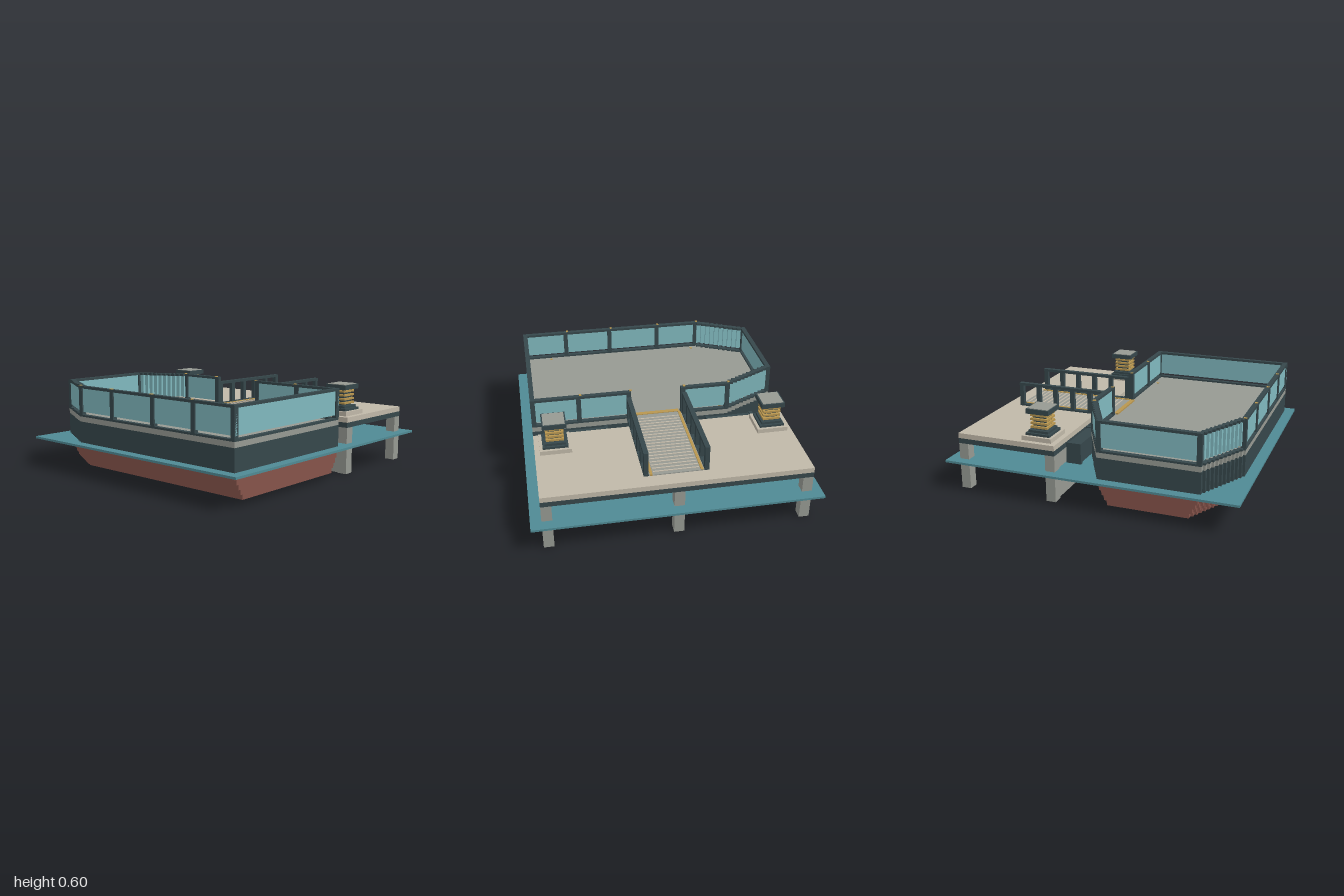
import * as THREE from 'three';

const mat = (name, color) => {
  const m = new THREE.MeshStandardMaterial({ color });
  m.name = name;
  return m;
};
const M = {
  water: mat('water teal', 0x4f8a94),
  glass: mat('glass blue', 0x80b8be),
  dark: mat('dark slate', 0x36474b),
  red: mat('hull red', 0x85534a),
  grey: mat('deck grey', 0x969992),
  beige: mat('quay beige', 0xc0b8a8),
  gold: mat('brass', 0xb8964f),
};

// Box given by its min and max on each axis
function box(parent, name, m, x0, x1, y0, y1, z0, z1) {
  const mesh = new THREE.Mesh(new THREE.BoxGeometry(x1 - x0, y1 - y0, z1 - z0), m);
  mesh.position.set((x0 + x1) / 2, (y0 + y1) / 2, (z0 + z1) / 2);
  mesh.name = name;
  parent.add(mesh);
  return mesh;
}
function group(parent, name) {
  const g = new THREE.Group();
  g.name = name;
  parent.add(g);
  return g;
}

// Ship dimensions
const CX = -0.405, HALF = 0.525, STERN = 0.875, BOW = -0.88, SHOULDER = -0.52, STEPS = 11;
const DZ = (SHOULDER - BOW) / STEPS;
const bowHalf = i => 0.51 - 0.017 * i;

// Horizontal hull slab with a stair-stepped bow
function hullSlab(parent, name, m, y0, y1, inset) {
  const pts = [[HALF - inset, -STERN], [HALF - inset, -SHOULDER]];
  for (let i = 0; i < STEPS; i++) {
    const h = bowHalf(i) - inset;
    pts.push([h, -SHOULDER + i * DZ], [h, -SHOULDER + (i + 1) * DZ]);
  }
  const mirrored = pts.map(([x, y]) => [-x, y]).reverse();
  const shape = new THREE.Shape([...pts, ...mirrored].map(([x, y]) => new THREE.Vector2(x, y)));
  const geo = new THREE.ExtrudeGeometry(shape, { depth: y1 - y0, bevelEnabled: false });
  geo.rotateX(-Math.PI / 2);
  const mesh = new THREE.Mesh(geo, m);
  mesh.position.set(CX, y0, 0);
  mesh.name = name;
  parent.add(mesh);
}

// Bottom rail, top rail and glass over one rectangle of the bulwark
function railing(parent, x0, x1, z0, z1, thinX) {
  box(parent, 'bottomRail', M.dark, x0, x1, 0.39, 0.403, z0, z1);
  box(parent, 'topRail', M.dark, x0, x1, 0.583, 0.6, z0, z1);
  const e = 0.009;
  if (thinX) box(parent, 'glassPanel', M.glass, x0 + e, x1 - e, 0.422, 0.583, z0, z1);
  else box(parent, 'glassPanel', M.glass, x0, x1, 0.422, 0.583, z0 + e, z1 - e);
}
function post(parent, x, z) {
  box(parent, 'railPost', M.dark, x - 0.016, x + 0.016, 0.39, 0.598, z - 0.016, z + 0.016);
}

function buildShip(root) {
  const ship = group(root, 'ship');
  // Stepped lower hull, upper hull and deck
  const ys = [0.04, 0.072, 0.104, 0.136, 0.168, 0.205];
  [0.07, 0.052, 0.034, 0.017, 0].forEach((inset, i) =>
    hullSlab(ship, 'lowerHull', M.red, ys[i], ys[i + 1], inset));
  hullSlab(ship, 'upperHull', M.dark, 0.205, 0.355, 0);
  hullSlab(ship, 'deck', M.grey, 0.355, 0.39, 0);
  for (const z of [0.61, -0.59])
    box(ship, 'keelPad', M.dark, CX - 0.105, CX + 0.105, 0, 0.04, z - 0.1, z + 0.1);

  // Straight bulwarks, with an opening on the quay side
  const L = CX - HALF, R = CX + HALF, t = 0.032;
  railing(ship, L, L + t, SHOULDER, STERN, true);
  railing(ship, R - t, R, 0.18, STERN, true);
  railing(ship, R - t, R, SHOULDER, -0.18, true);
  railing(ship, L, R, STERN - t, STERN, false);
  for (const z of [-0.51, -0.19, 0.195, 0.545, STERN - 0.016]) {
    post(ship, L + 0.016, z);
    post(ship, R - 0.016, z);
  }

  // Stepped bow bulwark
  for (let i = 0; i < STEPS; i++) {
    const h = bowHalf(i), z1 = SHOULDER - i * DZ, z0 = z1 - DZ;
    if (i === STEPS - 1) railing(ship, CX - h, CX + h, z0, z1, false);
    else for (const s of [-1, 1]) {
      const a = CX + s * h, b = CX + s * (h - 0.038);
      railing(ship, Math.min(a, b), Math.max(a, b), z0, z1, true);
    }
  }
  for (const s of [-1, 1]) post(ship, CX + s * 0.325, BOW + 0.016);

  // Brass caps on the rail and small deck lights
  const dot = (name, x, y, z) =>
    box(ship, name, M.gold, x - 0.01, x + 0.01, y, y + 0.004, z - 0.008, z + 0.008);
  for (const z of [-0.52, -0.2, 0.18, 0.53]) {
    dot('postCap', L + 0.012, 0.6, z);
    dot('postCap', R - 0.025, 0.6, z);
  }
  for (const z of [-0.47, 0.67]) for (const s of [-1, 1]) dot('deckLight', CX + s * 0.463, 0.39, z);
}

function buildQuay(root) {
  const quay = group(root, 'quay');
  box(quay, 'quayTop', M.beige, 0.225, 0.925, 0.355, 0.39, -0.88, 0.875);
  box(quay, 'quayBeam', M.dark, 0.225, 0.925, 0.32, 0.355, -0.88, 0.875);
  for (const x of [0.225, 0.858]) for (const z of [-0.845, 0, 0.84])
    box(quay, 'quayPile', M.grey, x, x + 0.067, 0, 0.32, z - 0.034, z + 0.034);
  box(quay, 'quayWall', M.grey, 0.235, 0.27, 0.001, 0.32, -0.87, 0.865);
  box(quay, 'bumperPlate', M.dark, 0.122, 0.155, 0, 0.33, -0.21, 0.21);

  // Fenders between ship and quay
  for (const s of [-1, 1]) {
    const c = s * 0.526;
    box(quay, 'fender', M.dark, 0.128, 0.217, 0.215, 0.345, c - 0.165, c + 0.165);
    for (const e of [-1, 1])
      box(quay, 'fenderEnd', M.dark, 0.121, 0.224, 0.21, 0.352, c + e * 0.162 - 0.012, c + e * 0.162 + 0.012);
  }
}

// Bollard: square base, ringed column and cap
function buildBollard(root, z) {
  const b = group(root, 'bollard');
  b.position.set(0.366, 0, z);
  const slab = (name, m, h, y0, y1) => box(b, name, m, -h, h, y0, y1, -h, h);
  slab('bollardBase', M.beige, 0.105, 0.39, 0.42);
  slab('bollardFoot', M.dark, 0.085, 0.42, 0.436);
  slab('bollardCollar', M.dark, 0.07, 0.436, 0.452);
  slab('bollardColumn', M.dark, 0.045, 0.452, 0.57);
  for (let i = 0; i < 4; i++) slab('bollardRing', M.gold, 0.06, 0.463 + i * 0.027, 0.477 + i * 0.027);
  slab('bollardCap', M.dark, 0.08, 0.565, 0.597);
  slab('bollardCapPlate', M.grey, 0.071, 0.597, 0.601);
}

function buildGangway(root) {
  const g = group(root, 'gangway');
  box(g, 'walkway', M.grey, 0.085, 0.82, 0.38, 0.396, -0.18, 0.18);
  for (let i = 0; i < 19; i++) {
    const x = 0.155 + i * 0.0352;
    box(g, 'slat', M.beige, x - 0.005, x + 0.005, 0.396, 0.4, -0.15, 0.15);
  }
  box(g, 'threshold', M.gold, 0.07, 0.1, 0.39, 0.401, -0.165, 0.165);
  for (const s of [-1, 1]) {
    const c = s * 0.197, w = 0.016;
    box(g, 'edgeStrip', M.gold, 0.1, 0.82, 0.39, 0.401, s * 0.165 - 0.009, s * 0.165 + 0.009);
    box(g, 'handrail', M.dark, 0.12, 0.82, 0.543, 0.562, c - w, c + w);
    box(g, 'footRail', M.dark, 0.12, 0.82, 0.385, 0.402, c - w, c + w);
    for (let i = 0; i < 6; i++) {
      const x = 0.136 + i * 0.1335;
      box(g, 'handrailPost', M.dark, x - 0.015, x + 0.015, 0.39, 0.545, c - w + 0.001, c + w - 0.001);
    }
  }
}

export function createModel() {
  const root = new THREE.Group();
  root.name = 'dockedShip';
  box(root, 'water', M.water, -1, 1, 0.195, 0.21, -0.945, 0.945);
  buildShip(root);
  buildQuay(root);
  buildGangway(root);
  for (const z of [-0.742, 0.735]) buildBollard(root, z);
  return root;
}
